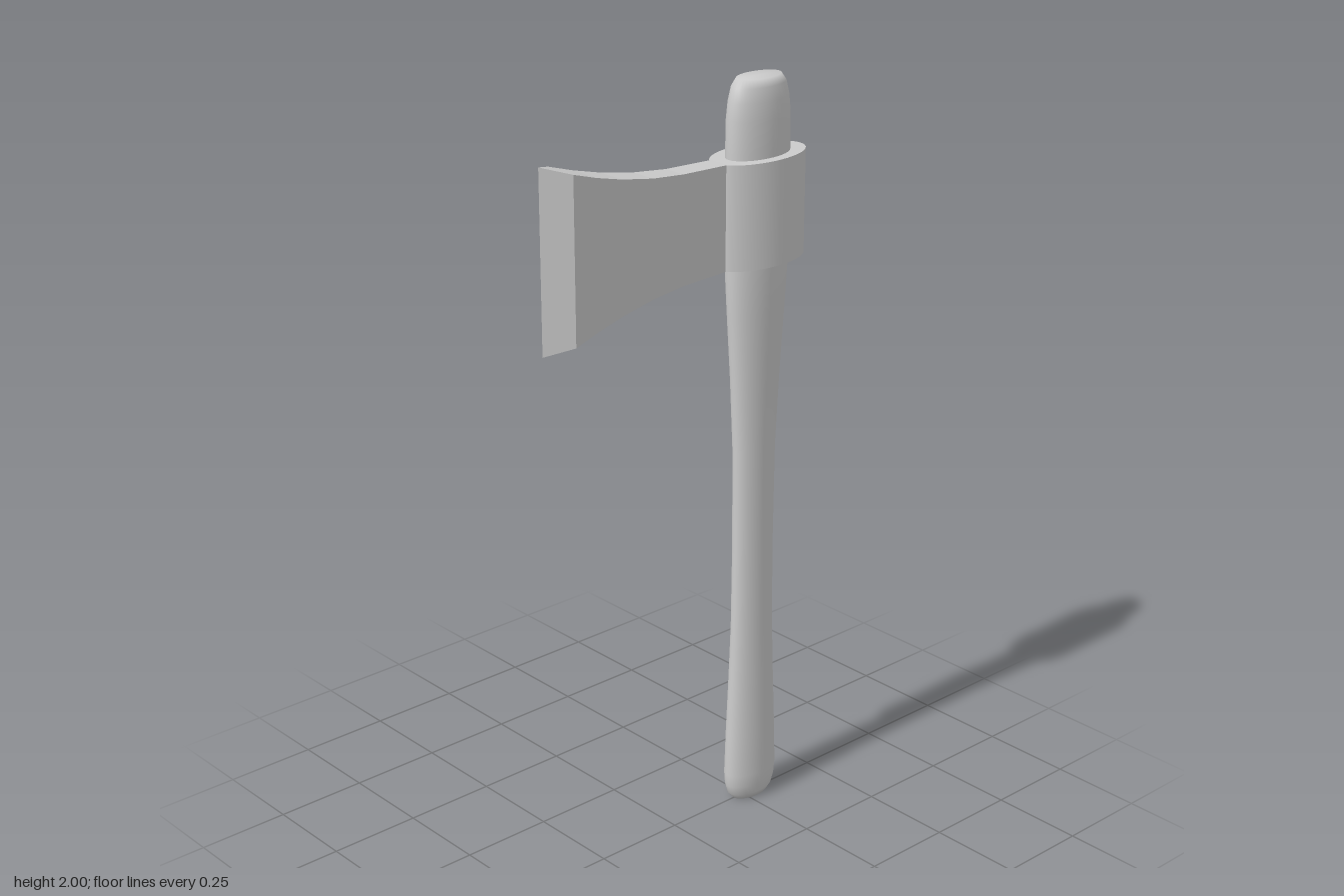
import * as THREE from 'three';

const HANDLE_Z = -0.275;
const HEAD_Y = 1.67;

// Oval handle: a turned profile squeezed sideways
function makeHandle(material) {
  const profile = [
    [0, 0], [0.058, 0], [0.073, 0.018], [0.081, 0.045], [0.084, 0.08],
    [0.08, 0.2], [0.073, 0.36], [0.067, 0.52], [0.065, 0.75], [0.067, 1.02],
    [0.077, 1.22], [0.089, 1.4], [0.097, 1.53], [0.098, 1.82], [0.097, 1.9],
    [0.092, 1.945], [0.083, 1.98], [0.068, 2], [0, 2],
  ].map(([r, y]) => new THREE.Vector2(r, y));
  const geometry = new THREE.LatheGeometry(profile, 40);
  geometry.scale(0.56, 1, 1);
  const handle = new THREE.Mesh(geometry, material);
  handle.name = 'handle';
  handle.position.z = HANDLE_Z;
  return handle;
}

// Oval band around the handle
function makeCollar(material) {
  const geometry = new THREE.CylinderGeometry(1, 1, 0.27, 40);
  geometry.scale(0.082, 1, 0.145);
  const collar = new THREE.Mesh(geometry, material);
  collar.name = 'collar';
  collar.position.set(0, HEAD_Y, HANDLE_Z);
  return collar;
}

// Flaring blade lofted through rectangular sections, closing to a sharp edge
function makeBlade(material) {
  // z, half thickness, half height
  const sections = [
    [-0.147, 0.03, 0.135], [0, 0.0315, 0.14], [0.1, 0.0355, 0.15],
    [0.2, 0.0395, 0.168], [0.28, 0.043, 0.188], [0.352, 0.046, 0.21],
    [0.417, 0, 0.23],
  ];
  const positions = [];
  const indices = [];
  sections.forEach(([z, w, h], i) => {
    positions.push(w, -h, z, w, h, z, -w, h, z, -w, -h, z);
    if (i === 0) return;
    for (let j = 0; j < 4; j++) {
      const a = (i - 1) * 4 + j;
      const b = (i - 1) * 4 + ((j + 1) % 4);
      indices.push(a, b, b + 4, a, b + 4, a + 4);
    }
  });
  const indexed = new THREE.BufferGeometry();
  indexed.setAttribute('position', new THREE.Float32BufferAttribute(positions, 3));
  indexed.setIndex(indices);
  const geometry = indexed.toNonIndexed();
  geometry.computeVertexNormals();
  const blade = new THREE.Mesh(geometry, material);
  blade.name = 'blade';
  blade.position.y = HEAD_Y;
  return blade;
}

export function createModel() {
  const smooth = new THREE.MeshStandardMaterial({ color: 0xcccccc });
  const faceted = new THREE.MeshStandardMaterial({ color: 0xcccccc, flatShading: true });

  const head = new THREE.Group();
  head.name = 'axeHead';
  head.add(makeCollar(smooth), makeBlade(faceted));

  const axe = new THREE.Group();
  axe.name = 'axe';
  axe.add(makeHandle(smooth), head);
  return axe;
}
